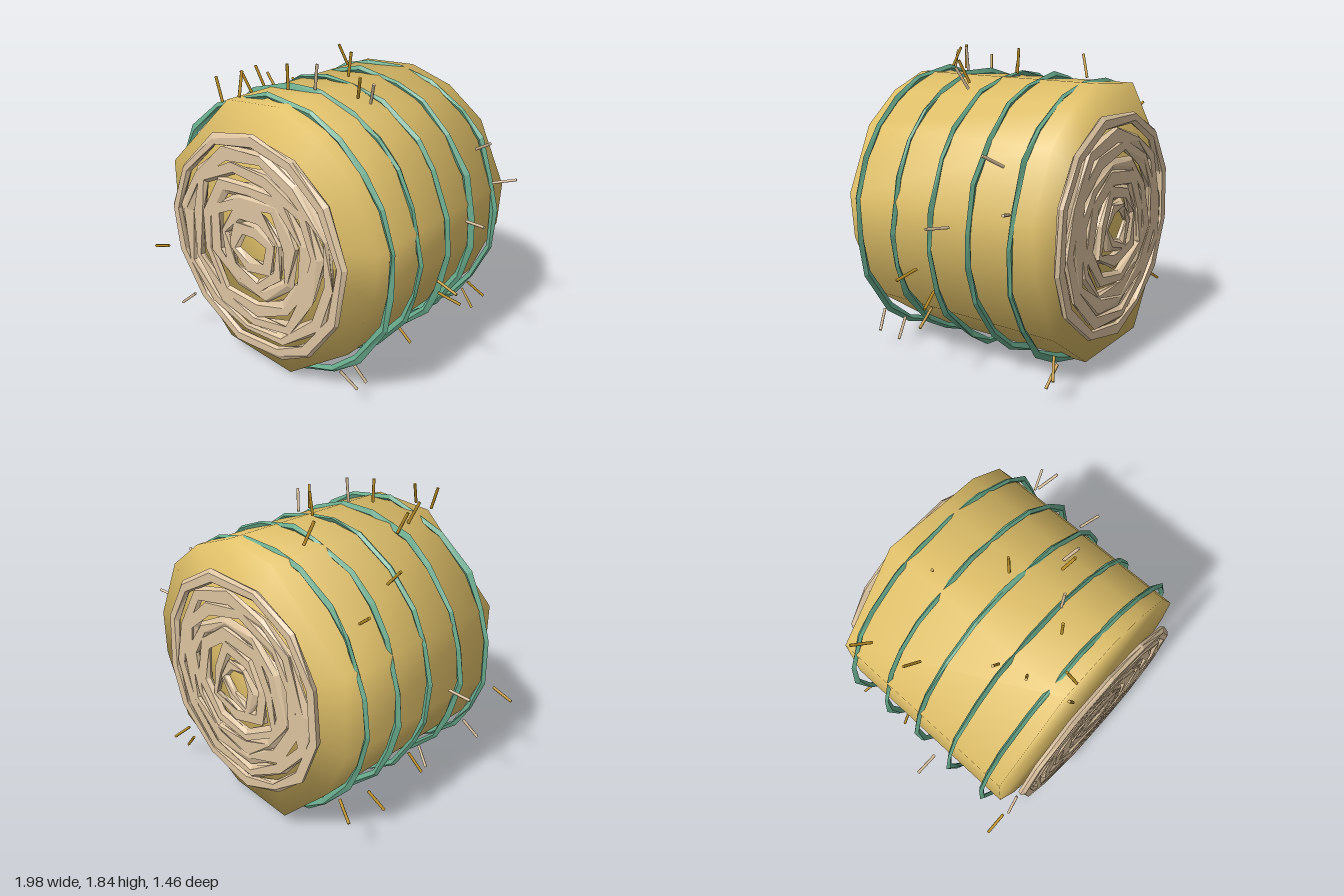
import * as THREE from 'three';

const CY = 0.85; // height of the bale axis

// small seeded random in -1..1
function seeded(seed) {
  let s = seed;
  return () => {
    s = (s * 16807) % 2147483647;
    return (s / 2147483647) * 2 - 1;
  };
}

// closed faceted band around z with a ragged edge; section is [dr, dz] pairs
function band(radius, segments, section, jitter, seed) {
  const rand = seeded(seed * 7919 + 13);
  for (let i = 0; i < 5; i++) rand();
  const n = section.length, pos = [], idx = [];
  const start = rand() * Math.PI;
  for (let i = 0; i < segments; i++) {
    const a = start + (i / segments) * Math.PI * 2 + rand() * 0.06;
    const shift = rand() * jitter * 0.6;
    for (const [dr, dz] of section) {
      const r = radius + dr + shift + rand() * jitter * 0.5;
      pos.push(Math.cos(a) * r, Math.sin(a) * r, dz);
    }
    const k = ((i + 1) % segments) * n;
    for (let j = 0; j < n; j++) {
      const a0 = i * n + j, a1 = i * n + ((j + 1) % n);
      const b0 = k + j, b1 = k + ((j + 1) % n);
      idx.push(a0, b0, a1, a1, b0, b1);
    }
  }
  const g = new THREE.BufferGeometry();
  g.setAttribute('position', new THREE.Float32BufferAttribute(pos, 3));
  g.setIndex(idx);
  const flat = g.toNonIndexed();
  flat.computeVertexNormals();
  return flat;
}

// uneven drum: clockwise outline seen from the front, with the back depth of each corner
function bodyGeometry() {
  const outline = [
    [-0.26, 1.645, -0.65], [0.13, 1.675, -0.61], [0.39, 1.58, -0.64], [0.62, 1.4, -0.65],
    [0.8, 1.02, -0.65], [0.78, 0.75, -0.66], [0.61, 0.35, -0.66], [0.17, 0.035, -0.62],
    [-0.34, 0.085, -0.68], [-0.64, 0.38, -0.64], [-0.765, 0.67, -0.61], [-0.765, 1.165, -0.61],
  ];
  const n = outline.length, pos = [], idx = [];
  for (const [x, y] of outline) pos.push(x, y, 0.62);
  for (const [x, y, z] of outline) pos.push(x, y, z);
  pos.push(0, CY, 0.62, 0, CY, -0.66);
  for (let i = 0; i < n; i++) {
    const j = (i + 1) % n;
    idx.push(i, j, n + i, j, n + j, n + i); // side
    idx.push(2 * n, j, i);                  // front
    idx.push(2 * n + 1, n + i, n + j);      // back
  }
  const g = new THREE.BufferGeometry();
  g.setAttribute('position', new THREE.Float32BufferAttribute(pos, 3));
  g.setIndex(idx);
  g.computeVertexNormals();
  return g;
}

export function createModel() {
  const material = (name, color, side = THREE.FrontSide) => {
    const m = new THREE.MeshStandardMaterial({ color, side });
    m.name = name;
    return m;
  };
  const hay = material('hay', 0xe2c26a);
  const tan = material('paleStraw', 0xdcc3a0, THREE.DoubleSide);
  const green = material('twineGreen', 0x68ab8d, THREE.DoubleSide);
  const gold = material('goldStraw', 0xc0942a);

  const model = new THREE.Group();
  model.name = 'hayBale';
  const add = (parent, name, geometry, mat) => {
    const mesh = new THREE.Mesh(geometry, mat);
    mesh.name = name;
    parent.add(mesh);
    return mesh;
  };

  add(model, 'baleBody', bodyGeometry(), hay);

  // twine wraps
  const twineSection = [[0.008, 0], [-0.012, 0.015], [-0.035, 0], [-0.012, -0.015]];
  [0.53, 0.27, 0, -0.26, -0.525].forEach((z, i) => {
    add(model, 'twine', band(0.842, 22, twineSection, 0.02, i + 3), green).position.set(0, CY, z);
  });

  // ragged coils of rolled hay on both ends
  const coilSection = [[0.03, 0], [0.018, 0.02], [-0.03, 0.02], [-0.038, 0], [-0.03, -0.02], [0.018, -0.02]];
  for (const end of [1, -1]) {
    const coil = new THREE.Group();
    coil.name = end > 0 ? 'frontCoil' : 'backCoil';
    coil.position.set(0, CY, end > 0 ? 0.712 : -0.698);
    if (end < 0) coil.rotation.y = Math.PI;
    for (let i = 0; i < 7; i++) {
      const r = 0.15 + i * 0.083;
      add(coil, 'coilRing', band(r, 6 + Math.round(i * 1.2), coilSection, i < 6 ? 0.055 : 0.025, i + 20 + end * 9), tan);
    }
    model.add(coil);
  }

  // loose straws: x, y, z, lean along z, pale (1) or gold (0)
  const straws = [
    [-0.27, 1.71, 0.665, 0, 0], [-0.18, 1.74, 0.59, -0.4, 0], [-0.32, 1.69, 0.41, 0.25, 0],
    [-0.02, 1.765, 0.385, 0, 0], [0.1, 1.765, 0.285, 0, 1], [-0.375, 1.68, 0.245, 0.1, 0],
    [0.3, 1.71, 0.155, 0.3, 0], [0.365, 1.68, 0.12, 0.35, 1], [0.06, 1.765, -0.06, -0.1, 0],
    [-0.225, 1.73, -0.35, 0.35, 0], [-0.73, 1.42, -0.45, -0.35, 0], [-0.64, 1.53, -0.125, -0.1, 0],
    [-0.92, 0.805, 0.16, 0, 1], [-0.88, 0.57, 0.685, 0, 0], [-0.69, 0.24, 0.655, 0.15, 1],
    [-0.75, 0.31, -0.6, -0.3, 0], [-0.72, 0.2, -0.3, 0.2, 0], [-0.64, 0.2, 0.15, 0.1, 0],
    [-0.58, 0.14, 0.3, -0.2, 1], [0.785, 1.33, -0.4, 0.35, 1], [0.87, 1.09, -0.54, -0.4, 1],
    [0.92, 0.965, -0.135, 0.3, 1], [0.905, 0.655, 0.105, 0.15, 0], [0.855, 0.515, -0.01, -0.3, 0],
    [0.67, 0.3, 0.18, 0, 0], [0.57, 0.13, 0.465, -0.15, 1], [0.6, 0.165, 0.6, -0.3, 1],
    [0.65, 0.21, -0.69, -0.4, 0], [0.61, 0.14, -0.655, 0.1, 0],
  ];
  const strawGeometry = new THREE.CylinderGeometry(0.009, 0.009, 0.145, 6);
  const up = new THREE.Vector3(0, 1, 0);
  for (const [x, y, z, lean, pale] of straws) {
    const straw = add(model, 'straw', strawGeometry, pale ? tan : gold);
    straw.position.set(x, y, z);
    const dir = new THREE.Vector3(x, y - CY, 0).normalize().setZ(lean).normalize();
    straw.quaternion.setFromUnitVectors(up, dir);
  }
  return model;
}
